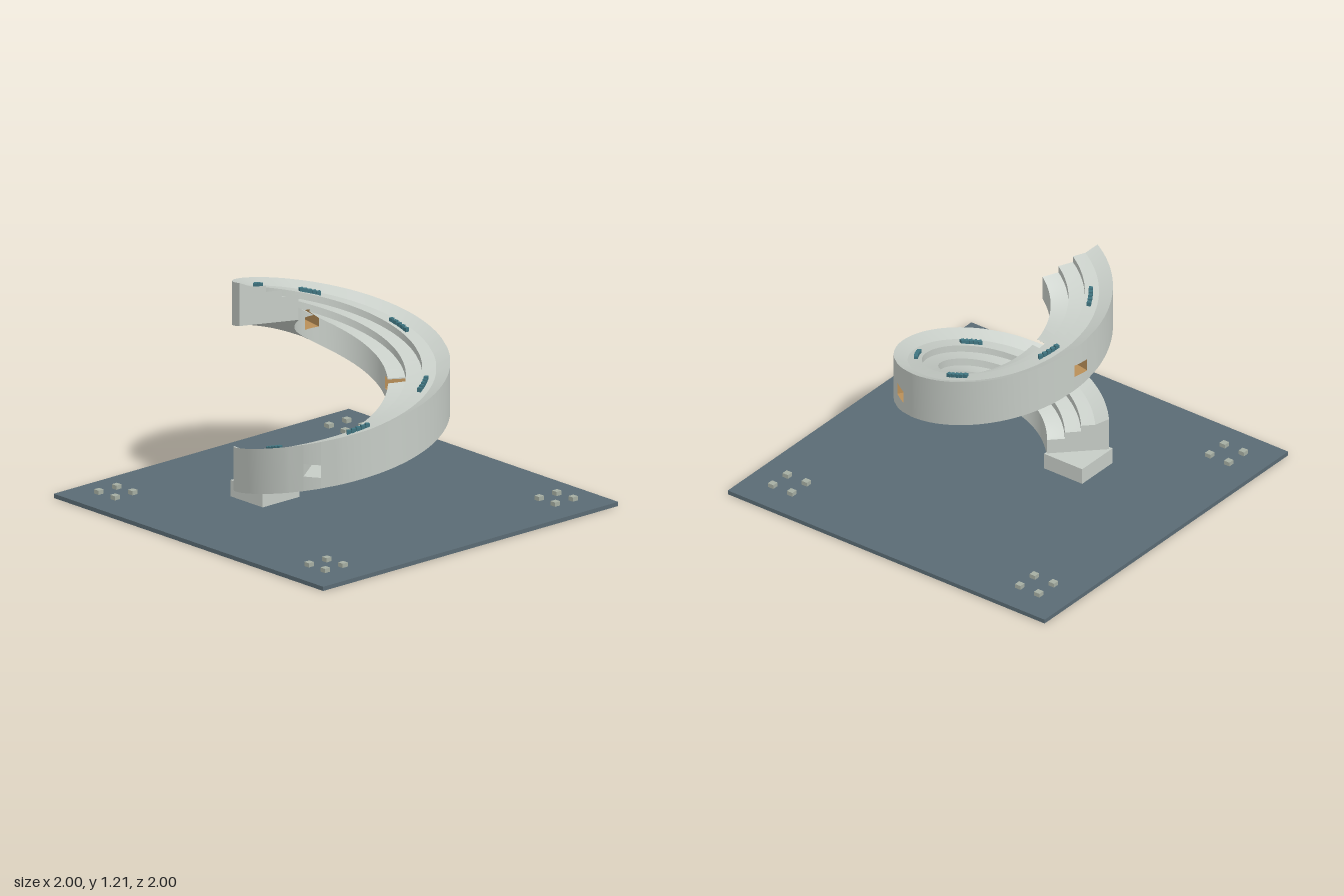
import * as THREE from 'three';

const mat = (name, color) => new THREE.MeshStandardMaterial({ name, color });
const RAD = Math.PI / 180;

// Ramp path: angle in degrees, measured from the front (+z) towards +x
const START = -45, END = 336, SPAN = END - START;
const bulge = a => Math.sin(Math.PI * (a - START) / SPAN);
const baseY = a => 0.06 + 0.921 * (a - START) / SPAN - 0.02 * bulge(a);
const height = a => 0.227 + 0.029 * bulge(a);
const radius = (r, a) => r + 0.063 * bulge(a);

// Cross-section: [radius, fraction of height], bottom edge first, then back down the treads
const PROFILE = [
  [0.197, 0], [0.51, 0], [0.51, 1], [0.44, 0.877], [0.369, 0.877],
  [0.369, 0.73], [0.287, 0.73], [0.287, 0.57], [0.197, 0.57],
];
const OPENINGS = [35, 147, 259.5];
const HALF_W = 0.045, HALF_H = 0.033;

function place(r, a, y) {
  return new THREE.Vector3(r * Math.sin(a * RAD), y, r * Math.cos(a * RAD));
}

// Point on the ramp at an angle
const at = (a, [r, h]) => place(radius(r, a), a, baseY(a) + h * height(a));
const radialSlice = a => PROFILE.map(p => at(a, p));

// Angle of a point on a plane parallel to an opening's axis (u = -1..1 across it)
const across = (c, u, r) => c + Math.asin(u * HALF_W / radius(r, c)) / RAD;
const openingSlice = (c, u) => PROFILE.map(p => at(across(c, u, p[0]), p));

// Skin a list of closed sections; edgeMat gives the material slot of each edge
function loft(slices, edgeMat, capMats) {
  const pos = [], geo = new THREE.BufferGeometry(), index = [];
  const n = slices[0].length;
  const addGroup = (tris, slot) => {
    geo.addGroup(index.length, tris.length, slot);
    index.push(...tris);
  };
  for (let j = 0; j < n; j++) {
    const first = pos.length / 3, tris = [];
    for (const s of slices) pos.push(...s[j].toArray(), ...s[(j + 1) % n].toArray());
    for (let i = 0; i < slices.length - 1; i++) {
      const a = first + 2 * i, b = a + 1, c = a + 2, d = a + 3;
      tris.push(a, c, b, b, c, d);
    }
    addGroup(tris, edgeMat(j));
  }
  [slices[0], slices[slices.length - 1]].forEach((s, end) => {
    const first = pos.length / 3, tris = [];
    for (const p of s) pos.push(...p.toArray());
    const flat = s.map(p => new THREE.Vector2(Math.hypot(p.x, p.z), p.y));
    for (const [a, b, c] of THREE.ShapeUtils.triangulateShape(flat, [])) {
      tris.push(first + a, first + (end ? c : b), first + (end ? b : c));
    }
    addGroup(tris, capMats[end]);
  });
  geo.setAttribute('position', new THREE.Float32BufferAttribute(pos, 3));
  geo.setIndex(index);
  geo.computeVertexNormals();
  return geo;
}

const range = (a, b, n) => Array.from({ length: n + 1 }, (_, i) => a + (b - a) * i / n);

export function createModel() {
  const root = new THREE.Group();
  root.name = 'spiralRampOnPlinth';
  const concrete = mat('pale concrete', 0xc6ccc6);
  const slate = mat('slate', 0x5a6b74);
  const timber = mat('warm timber', 0xb98f58);
  const teal = mat('teal', 0x3f7480);
  const stone = mat('grey stone', 0xa5ada2);

  const add = (parent, name, geo, material) => {
    const m = new THREE.Mesh(geo, material);
    m.name = name;
    parent.add(m);
    return m;
  };
  const box = (parent, name, size, p, material) => {
    const m = add(parent, name, new THREE.BoxGeometry(...size), material);
    m.position.set(...p);
    return m;
  };

  // Ground slab, corner studs and footing
  box(root, 'groundSlab', [2, 0.022, 2], [0, 0.011, 0], slate);
  const studs = new THREE.Group();
  studs.name = 'cornerStuds';
  root.add(studs);
  for (const x of [-0.84, -0.72, 0.72, 0.84])
    for (const z of [-0.84, -0.72, 0.72, 0.84])
      box(studs, 'stud', [0.034, 0.022, 0.034], [x, 0.038, z], stone);
  box(root, 'footing', [0.24, 0.086, 0.25], [-0.25, 0.067, 0.253], concrete);

  // Solid stretches of the ramp between the openings
  const ramp = new THREE.Group();
  ramp.name = 'spiralRamp';
  root.add(ramp);
  for (let k = 0; k <= OPENINGS.length; k++) {
    const prev = OPENINGS[k - 1], next = OPENINGS[k];
    const from = k ? prev + 13 : START;
    const to = k < OPENINGS.length ? next - 13 : END;
    const slices = range(from, to, Math.ceil((to - from) / 3)).map(radialSlice);
    if (k) slices.unshift(openingSlice(prev, 1));
    if (k < OPENINGS.length) slices.push(openingSlice(next, -1));
    // slots: 0 concrete, 1 lining after previous opening, 2 lining before next opening
    const geo = loft(slices, () => 0, [k ? 1 : 0, k < OPENINGS.length ? 2 : 0]);
    add(ramp, 'rampStretch', geo, [concrete, k > 1 ? timber : concrete, k > 0 ? timber : concrete]);
  }

  // Ramp below and above each opening, with lined sill and ceiling
  OPENINGS.forEach((c, k) => {
    const mats = [concrete, k ? timber : concrete];
    const mid = baseY(c) + 0.1, sill = mid - HALF_H, head = mid + HALF_H;
    const level = (u, r, y) => {
      const a = across(c, u, r);
      return place(radius(r, a), a, y);
    };
    const inner = PROFILE[0][0], outer = PROFILE[1][0], notch = PROFILE[6][0];
    const below = u => [
      ...PROFILE.slice(0, 2).map(p => at(across(c, u, p[0]), p)),
      level(u, outer, sill), level(u, inner, sill),
    ];
    const above = (u, r0, count) => [
      level(u, r0, head), level(u, outer, head),
      ...PROFILE.slice(2, 2 + count).map(p => {
        const v = at(across(c, u, p[0]), p);
        v.y = Math.max(v.y, head + 0.0005);
        return v;
      }),
    ];
    add(ramp, 'openingSill', loft(range(-1, 1, 6).map(below), j => (j === 2 ? 1 : 0), [0, 0]), mats);
    // the lowest tread is cut away on the downhill side
    add(ramp, 'openingHead',
      loft(range(-0.35, 1, 4).map(u => above(u, inner, 7)), j => (j === 0 ? 1 : 0), [0, 0]), mats);
    add(ramp, 'openingHeadNotched',
      loft(range(-1, -0.35, 2).map(u => above(u, notch, 5)), j => (j === 0 ? 1 : 0), [0, 0]), mats);
  });

  // Rows of small blocks along the upper ledge
  for (const a of [0, 62, 119.5, 184, 245, 298]) {
    const row = new THREE.Group();
    row.name = 'ledgeBlocks';
    root.add(row);
    for (let i = -2; i <= 2; i++) {
      const b = a + i * 3;
      const p = place(radius(0.399, b), b, baseY(b) + 0.877 * height(b) + 0.008);
      const m = box(row, 'ledgeBlock', [0.021, 0.022, 0.02], p.toArray(), teal);
      m.rotation.y = b * RAD;
    }
  }
  return root;
}
